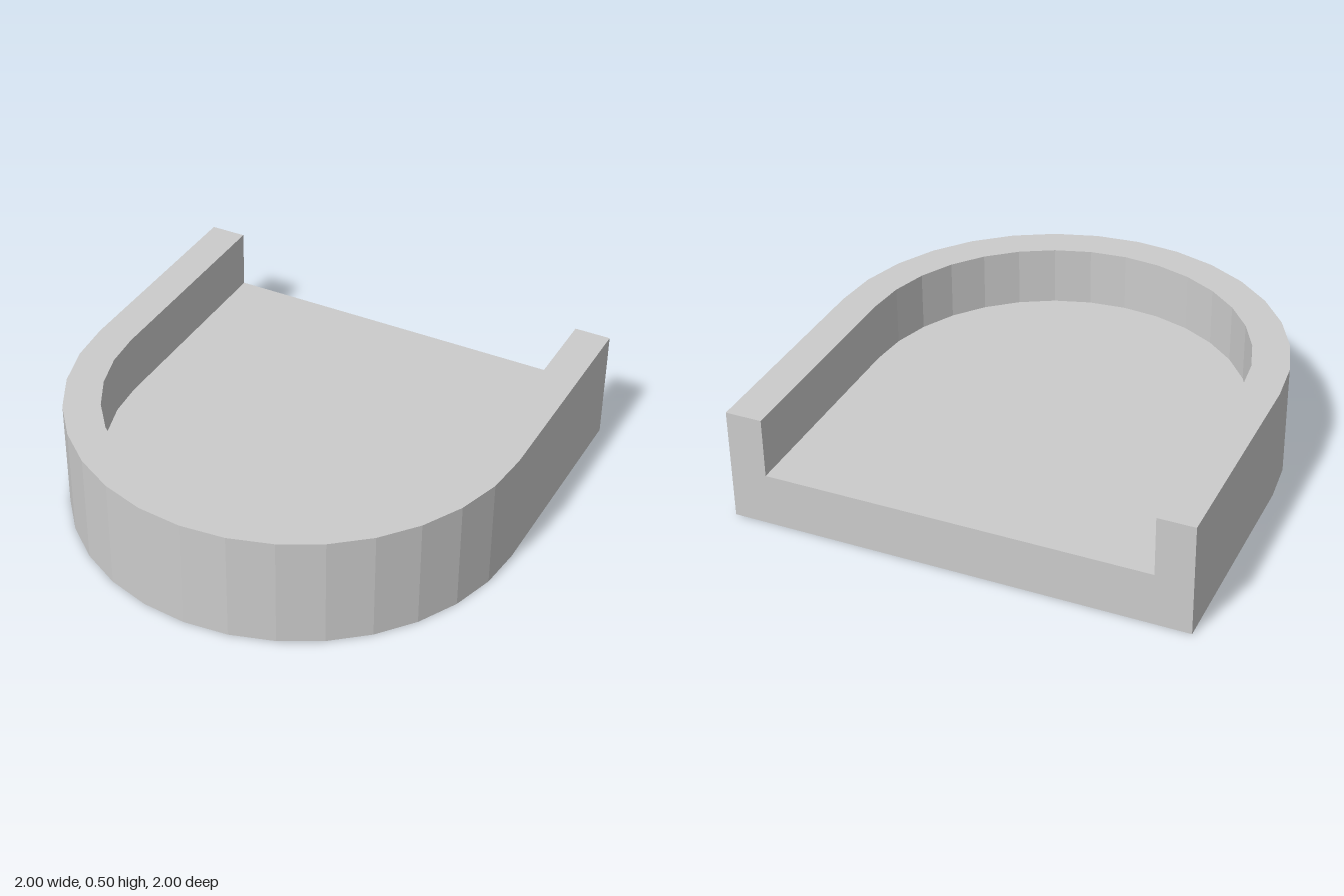
import * as THREE from 'three';

const INNER = 0.84, OUTER = 1, HEIGHT = 0.5, FLOOR = 0.235, BACK = -1, SEGMENTS = 16;

// Straight sides from the open back, joined by a faceted half circle at the front
function outline(radius) {
  const points = [new THREE.Vector2(radius, BACK)];
  for (let i = 0; i <= SEGMENTS; i++) {
    const a = (i / SEGMENTS) * Math.PI;
    points.push(new THREE.Vector2(radius * Math.cos(a), radius * Math.sin(a)));
  }
  points.push(new THREE.Vector2(-radius, BACK));
  return points;
}

// Extrude a plan (x, z) upwards from y = bottom to y = top
function slab(name, points, bottom, top, material) {
  const geometry = new THREE.ExtrudeGeometry(new THREE.Shape(points), {
    depth: top - bottom, bevelEnabled: false,
  });
  geometry.rotateX(Math.PI / 2).translate(0, top, 0);
  const mesh = new THREE.Mesh(geometry, material);
  mesh.name = name;
  return mesh;
}

export function createModel() {
  const group = new THREE.Group();
  group.name = 'roundedTray';
  const material = new THREE.MeshStandardMaterial({ color: 0xcccccc, flatShading: true });

  // Solid base with the recessed floor inside the rim
  group.add(slab('base', outline(OUTER), 0, FLOOR, material));

  // U-shaped rim, open at the back
  const rim = [...outline(OUTER), ...outline(INNER).reverse()];
  group.add(slab('rim', rim, FLOOR, HEIGHT, material));
  return group;
}
